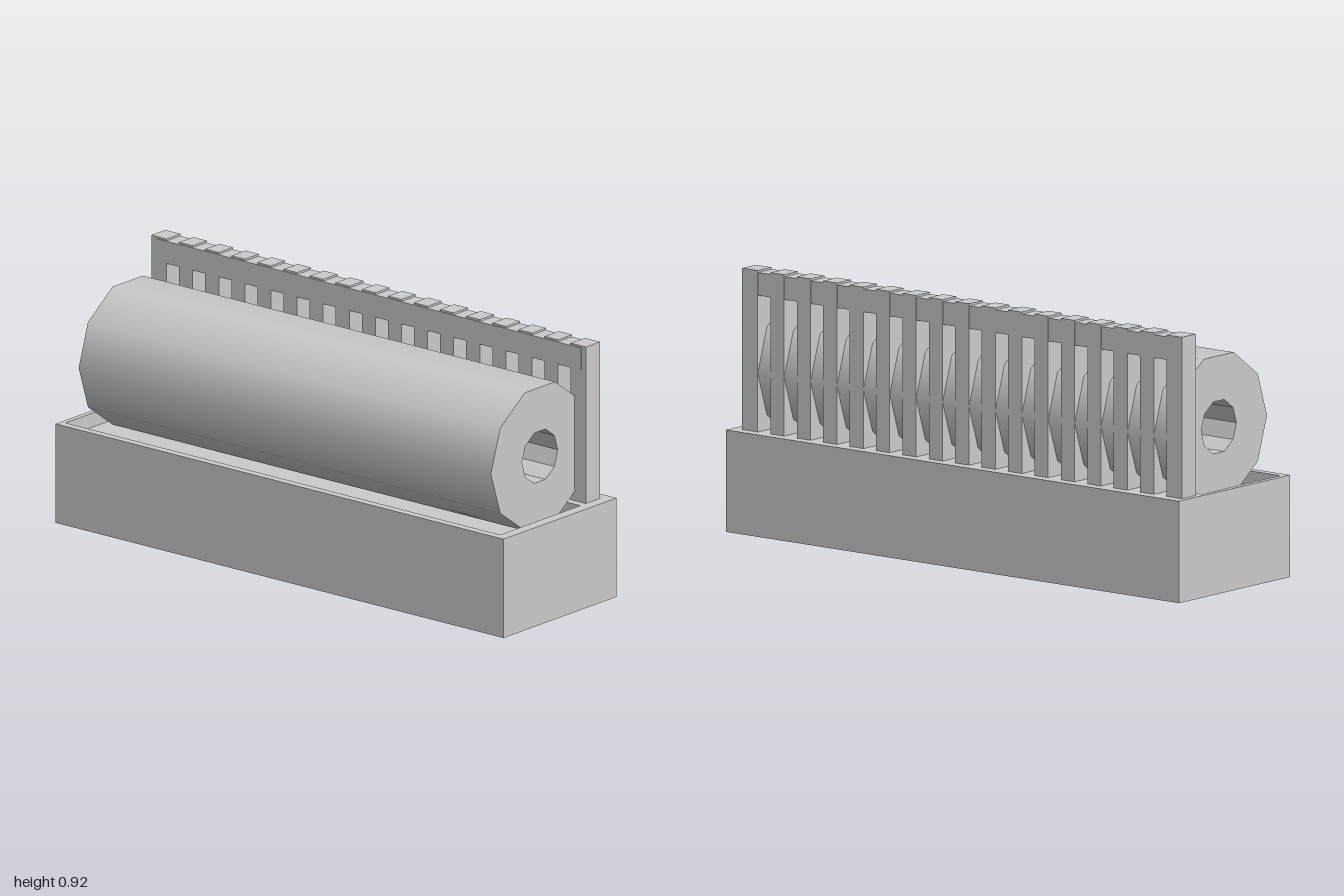
import * as THREE from 'three';

const grey = new THREE.MeshStandardMaterial({ color: 0xcccccc });
const hollow = new THREE.MeshStandardMaterial({ color: 0xcccccc, side: THREE.BackSide, flatShading: true });

function add(parent, name, geometry, material = grey) {
  const mesh = new THREE.Mesh(geometry, material);
  mesh.name = name;
  parent.add(mesh);
  return mesh;
}

// box given by its lowest and highest corners
function boxBetween(x0, x1, y0, y1, z0, z1) {
  return new THREE.BoxGeometry(x1 - x0, y1 - y0, z1 - z0)
    .translate((x0 + x1) / 2, (y0 + y1) / 2, (z0 + z1) / 2);
}

function rectangle(path, x0, x1, y0, y1) {
  path.moveTo(x0, y0).lineTo(x1, y0).lineTo(x1, y1).lineTo(x0, y1).closePath();
  return path;
}

// base block with a shallow recess in its top
function createBase() {
  const base = new THREE.Group();
  base.name = 'base';
  const floorY = 0.305, topY = 0.355;
  const block = boxBetween(-1, 1, 0, floorY, -0.3, 0.3);
  add(base, 'baseBlock', block);

  // the shape is drawn in x and -z, then laid flat
  const rim = rectangle(new THREE.Shape(), -1, 1, -0.3, 0.3);
  rim.holes.push(rectangle(new THREE.Path(), -0.98, 0.96, -0.27, 0.155));
  const rimGeometry = new THREE.ExtrudeGeometry(rim, { depth: topY - floorY, bevelEnabled: false });
  rimGeometry.rotateX(-Math.PI / 2).translate(0, floorY, 0);
  add(base, 'baseRim', rimGeometry);
  return base;
}

// ten-sided hollow roll lying along x
function createRoll() {
  const roll = new THREE.Group();
  roll.name = 'roll';
  const outer = 0.26, inner = 0.095, length = 1.84, sides = 10;
  const tube = (r) => new THREE.CylinderGeometry(r, r, length, sides, 1, true).rotateZ(Math.PI / 2);
  add(roll, 'rollSurface', tube(outer));
  add(roll, 'rollBore', tube(inner), hollow);
  for (const side of [-1, 1]) {
    const end = new THREE.RingGeometry(inner, outer, sides).rotateY(side * Math.PI / 2);
    add(roll, 'rollEnd', end.translate(side * length / 2, 0, 0));
  }
  roll.position.set(-0.01, 0.56, 0);
  return roll;
}

// upright rack: a row of posts joined by a slightly lower top rail
function createRack() {
  const rack = new THREE.Group();
  rack.name = 'rack';
  const left = -0.98, right = 0.96, slots = 16, pitch = 0.1165, slotWidth = 0.056;
  const firstSlot = (left + right) / 2 - pitch * (slots - 1) / 2;
  for (let i = 0; i <= slots; i++) {
    const x0 = i === 0 ? left : firstSlot + (i - 1) * pitch + slotWidth / 2;
    const x1 = i === slots ? right : firstSlot + i * pitch - slotWidth / 2;
    add(rack, 'rackPost', boxBetween(x0, x1, 0.35, 0.917, -0.26, -0.185));
  }
  add(rack, 'rackTopRail', boxBetween(left + 0.02, right - 0.02, 0.83, 0.91, -0.258, -0.182));
  return rack;
}

export function createModel() {
  const model = new THREE.Group();
  model.name = 'rollHolder';
  model.add(createBase(), createRoll(), createRack());
  return model;
}
